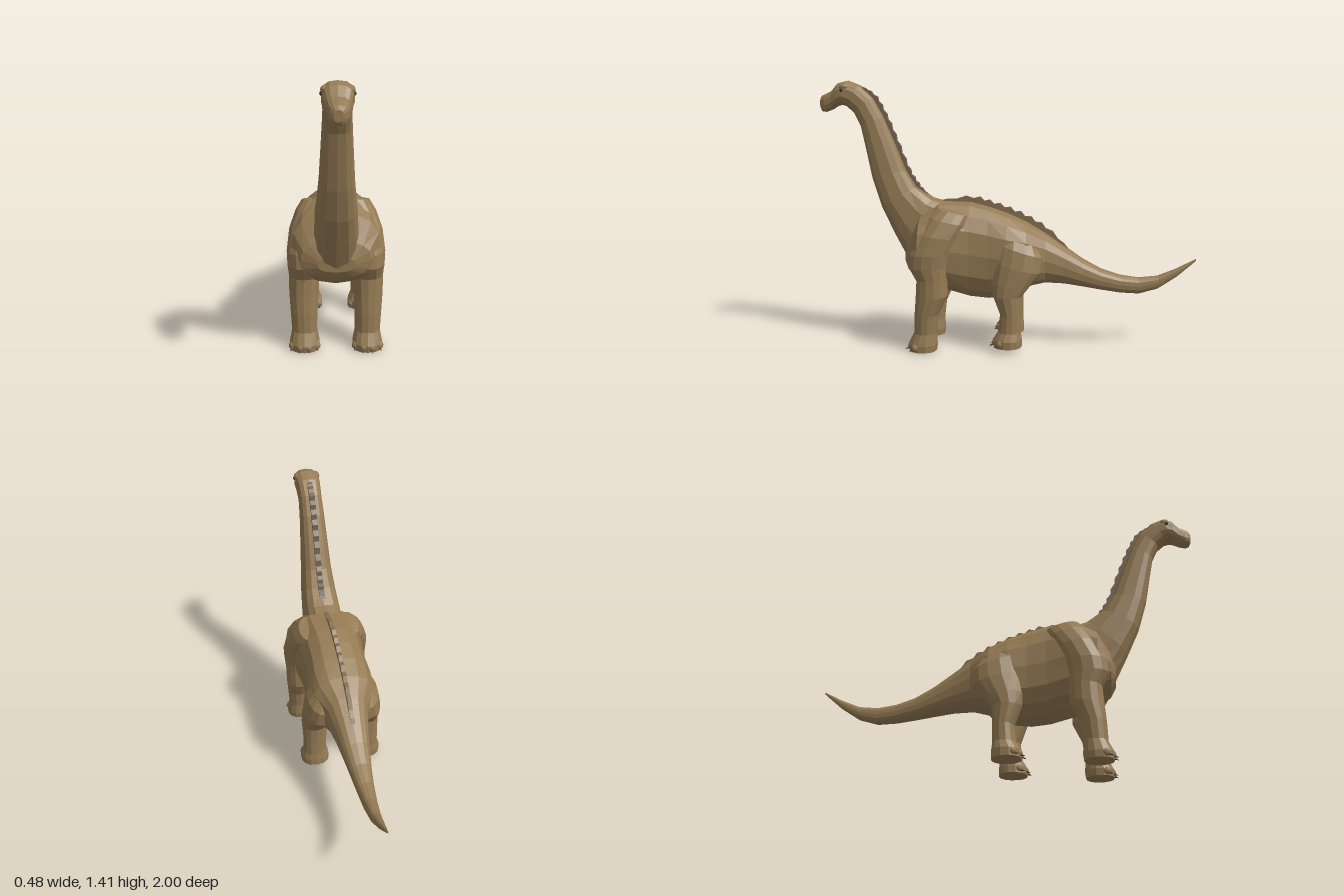
import * as THREE from 'three';

const mat = (name, color) => {
  const m = new THREE.MeshStandardMaterial({ color });
  m.name = name;
  return m;
};

// Loft through rings [zA, yA, zB, yB, halfWidth, centreX]; A and B are opposite points in the side plane.
function loft(rings, sides = 14, power = 0.8) {
  const pos = [], idx = [], n = rings.length;
  const soft = (v) => Math.sign(v) * Math.abs(v) ** power;
  for (const [zA, yA, zB, yB, hw, cx = 0] of rings) {
    for (let j = 0; j < sides; j++) {
      const t = (j / sides) * Math.PI * 2, c = soft(Math.cos(t)) / 2, s = soft(Math.sin(t));
      pos.push(cx + hw * s, (yA + yB) / 2 + (yA - yB) * c, (zA + zB) / 2 + (zA - zB) * c);
    }
  }
  for (let i = 0; i < n - 1; i++) {
    for (let j = 0; j < sides; j++) {
      const a = i * sides + j, b = i * sides + (j + 1) % sides;
      idx.push(a, b, b + sides, a, b + sides, a + sides);
    }
  }
  // end caps
  [rings[0], rings[n - 1]].forEach(([zA, yA, zB, yB, , cx = 0], e) => {
    const centre = pos.length / 3, o = e * (n - 1) * sides;
    pos.push(cx, (yA + yB) / 2, (zA + zB) / 2);
    for (let j = 0; j < sides; j++) {
      const a = o + j, b = o + (j + 1) % sides;
      if (e) idx.push(centre, a, b); else idx.push(centre, b, a);
    }
  });
  const g = new THREE.BufferGeometry();
  g.setAttribute('position', new THREE.Float32BufferAttribute(pos, 3));
  g.setIndex(idx);
  const flat = g.toNonIndexed();
  flat.computeVertexNormals();
  return flat;
}

// Jagged ridge standing on a side-plane curve of [z, y] points, listed from back to front.
function ridge(points, height, teeth, width) {
  const curve = new THREE.SplineCurve(points.map(([z, y]) => new THREE.Vector2(z, y)));
  const outer = [], inner = [];
  for (let i = 0; i <= teeth * 2; i++) {
    const t = i / (teeth * 2), p = curve.getPoint(t), d = curve.getTangent(t);
    const up = new THREE.Vector2(-d.y, d.x);
    const h = height * Math.min(1, 6 * t, 6 * (1 - t)) * (i % 2 ? 1 : 0.55);
    outer.push(p.clone().addScaledVector(up, h));
    inner.unshift(p.clone().addScaledVector(up, -0.025));
  }
  const g = new THREE.ExtrudeGeometry(new THREE.Shape([...outer, ...inner]), { depth: width, bevelEnabled: false });
  return g.translate(0, 0, -width / 2).rotateY(-Math.PI / 2);
}

export function createModel() {
  const root = new THREE.Group();
  root.name = 'longNeckedDinosaur';
  const hide = mat('hide brown', 0x957b54);
  const spine = mat('spine grey brown', 0x736353);
  const backSpine = mat('back spine brown', 0x846f50);
  const claw = mat('claw brown', 0x5c4c40);
  const eye = mat('eye dark', 0x40342a);
  const add = (name, geometry, material, parent = root) => {
    const m = new THREE.Mesh(geometry, material);
    m.name = name;
    parent.add(m);
    return m;
  };

  // Trunk and tail: z, top, bottom, half-width
  const trunk = [
    [0.545, 0.53, 0.45, 0.09], [0.52, 0.6, 0.41, 0.17], [0.46, 0.72, 0.365, 0.222],
    [0.36, 0.785, 0.315, 0.21], [0.2, 0.78, 0.266, 0.182], [0.1, 0.755, 0.256, 0.178],
    [0, 0.72, 0.27, 0.184], [-0.1, 0.675, 0.325, 0.175], [-0.2, 0.615, 0.345, 0.115],
    [-0.3, 0.545, 0.34, 0.09], [-0.4, 0.475, 0.325, 0.073], [-0.5, 0.42, 0.308, 0.058],
    [-0.6, 0.388, 0.293, 0.046], [-0.7, 0.375, 0.288, 0.036], [-0.8, 0.386, 0.316, 0.027],
    [-0.9, 0.427, 0.382, 0.017], [-1, 0.48, 0.468, 0.004],
  ];
  add('trunkAndTail', loft(trunk.map(([z, t, b, w]) => [z, t, z, b, w]), 16), hide);

  // Neck and head: throat point, nape point, half-width
  add('neckAndHead', loft([
    [0.54, 0.46, 0.28, 0.77, 0.11], [0.61, 0.6, 0.4, 0.8, 0.106], [0.68, 0.75, 0.49, 0.86, 0.096],
    [0.73, 0.91, 0.545, 0.95, 0.084], [0.76, 1.06, 0.605, 1.1, 0.075], [0.785, 1.18, 0.66, 1.23, 0.068],
    [0.82, 1.25, 0.715, 1.33, 0.064], [0.86, 1.285, 0.785, 1.395, 0.068], [0.885, 1.292, 0.85, 1.42, 0.071],
    [0.91, 1.285, 0.9, 1.408, 0.064], [0.935, 1.268, 0.935, 1.368, 0.053], [0.97, 1.255, 0.97, 1.352, 0.046],
    [0.99, 1.258, 0.99, 1.343, 0.036], [1, 1.275, 1, 1.325, 0.02],
  ], 14, 0.75), hide);

  // Spine ridges
  add('neckRidge', ridge([[0.43, 0.815], [0.49, 0.86], [0.545, 0.95], [0.605, 1.1], [0.66, 1.23],
    [0.715, 1.33], [0.77, 1.385]], 0.02, 14, 0.03), spine);
  add('backRidge', ridge([[-0.32, 0.53], [-0.2, 0.615], [-0.1, 0.675], [0, 0.72], [0.1, 0.755],
    [0.2, 0.78], [0.36, 0.785]], 0.034, 11, 0.022), backSpine);

  // Legs with shoulder or hip: front z, front y, back z, back y, half-width, centre x
  const frontLeg = [
    [0.515, 0.005, 0.37, 0.005, 0.074, 0.158], [0.52, 0.04, 0.365, 0.04, 0.076, 0.158],
    [0.49, 0.1, 0.37, 0.1, 0.064, 0.158], [0.487, 0.2, 0.358, 0.2, 0.068, 0.16],
    [0.48, 0.29, 0.31, 0.3, 0.075, 0.16], [0.475, 0.38, 0.31, 0.4, 0.078, 0.158],
    [0.515, 0.45, 0.305, 0.45, 0.086, 0.155], [0.51, 0.52, 0.29, 0.52, 0.092, 0.152],
    [0.46, 0.63, 0.255, 0.6, 0.092, 0.14], [0.41, 0.715, 0.21, 0.67, 0.082, 0.12],
    [0.37, 0.762, 0.19, 0.715, 0.07, 0.1], [0.33, 0.755, 0.23, 0.74, 0.04, 0.07],
  ];
  const hindLeg = [
    [0.07, 0.03, -0.08, 0.03, 0.08, 0.15], [0.07, 0.07, -0.08, 0.07, 0.08, 0.152],
    [0.045, 0.11, -0.075, 0.11, 0.064, 0.152], [0.035, 0.2, -0.075, 0.2, 0.065, 0.15],
    [0.073, 0.3, -0.08, 0.3, 0.07, 0.148], [0.08, 0.37, -0.12, 0.35, 0.075, 0.142],
    [0.07, 0.48, -0.18, 0.42, 0.088, 0.124], [0.055, 0.58, -0.19, 0.5, 0.09, 0.106],
    [0.03, 0.64, -0.16, 0.56, 0.075, 0.086], [0, 0.65, -0.1, 0.6, 0.04, 0.07],
  ];
  for (const side of [1, -1]) {
    const label = side > 0 ? 'left' : 'right';
    for (const [kind, rings] of [['Front', frontLeg], ['Hind', hindLeg]]) {
      const leg = new THREE.Group();
      leg.name = `${label}${kind}Leg`;
      root.add(leg);
      add('leg', loft(rings.map((r) => [...r.slice(0, 5), r[5] * side]), 14, 0.9), hide, leg);

      // Toes and claws
      const [toeZ, soleY, , , , cx] = rings[0];
      for (let i = 0; i < 4; i++) {
        const k = (i - 1.5) / 1.5, x = cx * side + k * 0.058, z = toeZ - 0.012 - 0.028 * k * k;
        const toe = add('toe', new THREE.SphereGeometry(0.022, 8, 6), hide, leg);
        toe.position.set(x, soleY + 0.024, z);
        const nail = add('claw', new THREE.ConeGeometry(0.013, 0.036, 6), claw, leg);
        nail.position.set(x + k * 0.006, soleY + 0.014, z + 0.018);
        nail.rotation.set(1.95, 0, -k * 0.3);
      }
    }

    // Brow and eye
    const brow = add(`${label}Brow`, new THREE.SphereGeometry(0.022, 8, 6), hide);
    brow.position.set(side * 0.055, 1.385, 0.862);
    brow.scale.set(0.8, 0.8, 1.3);
    const ball = add(`${label}Eye`, new THREE.SphereGeometry(0.011, 8, 6), eye);
    ball.position.set(side * 0.065, 1.37, 0.872);
  }
  return root;
}
